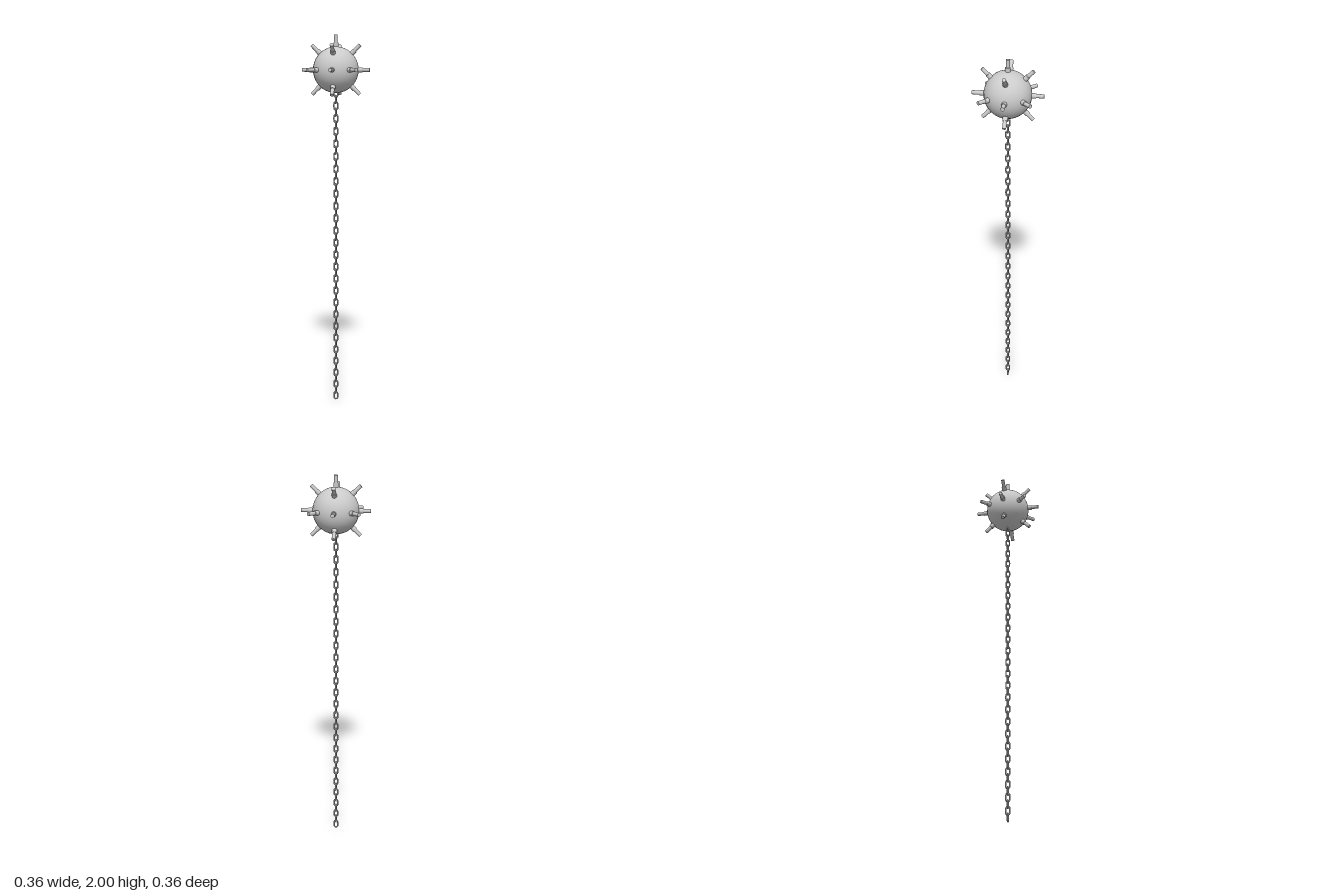
import * as THREE from 'three';

const CENTER_Y = 1.82;
const BALL_RADIUS = 0.12;
const LINKS = 51;
const PITCH = 0.0335;
const LINK_LENGTH = 0.05;
const LINK_WIDTH = 0.028;
const WIRE = 0.004;

// Stadium-shaped loop that the link wire follows
class LinkCurve extends THREE.Curve {
  getPoint(t, target = new THREE.Vector3()) {
    const r = LINK_WIDTH / 2 - WIRE;
    const straight = LINK_LENGTH / 2 - WIRE - r;
    const a = t * Math.PI * 2;
    return target.set(r * Math.cos(a), r * Math.sin(a) + straight * Math.tanh(6 * Math.sin(a)), 0);
  }
}

export function createModel() {
  const model = new THREE.Group();
  model.name = 'mooredMine';
  const material = new THREE.MeshStandardMaterial({ color: 0xcccccc });

  const add = (name, geometry, parent) => {
    const mesh = new THREE.Mesh(geometry, material);
    mesh.name = name;
    parent.add(mesh);
    return mesh;
  };

  // Round body
  const body = add('body', new THREE.SphereGeometry(BALL_RADIUS, 32, 20), model);
  body.position.y = CENTER_Y;

  // Horns on the axes and the diagonals between them; the bottom holds the chain
  const collarGeometry = new THREE.CylinderGeometry(0.013, 0.013, 0.035, 16).translate(0, 0.1225, 0);
  const rodGeometry = new THREE.CylinderGeometry(0.01, 0.01, 0.07, 16).translate(0, 0.145, 0);
  const up = new THREE.Vector3(0, 1, 0);
  for (let x = -1; x <= 1; x++) {
    for (let y = -1; y <= 1; y++) {
      for (let z = -1; z <= 1; z++) {
        const axes = Math.abs(x) + Math.abs(y) + Math.abs(z);
        const isBottom = axes === 1 && y === -1;
        if (axes < 1 || axes > 2 || isBottom) continue;
        const horn = new THREE.Group();
        horn.name = 'horn';
        horn.position.y = CENTER_Y;
        horn.quaternion.setFromUnitVectors(up, new THREE.Vector3(x, y, z).normalize());
        add('hornCollar', collarGeometry, horn);
        add('hornRod', rodGeometry, horn);
        model.add(horn);
      }
    }
  }

  // Chain of links, each turned a quarter against the next
  const chain = new THREE.Group();
  chain.name = 'chain';
  const linkGeometry = new THREE.TubeGeometry(new LinkCurve(), 32, WIRE, 8, true);
  for (let i = 0; i < LINKS; i++) {
    const link = add('chainLink', linkGeometry, chain);
    link.position.y = LINK_LENGTH / 2 + i * PITCH;
    link.rotation.y = (i % 2) * Math.PI / 2;
  }
  model.add(chain);

  return model;
}
